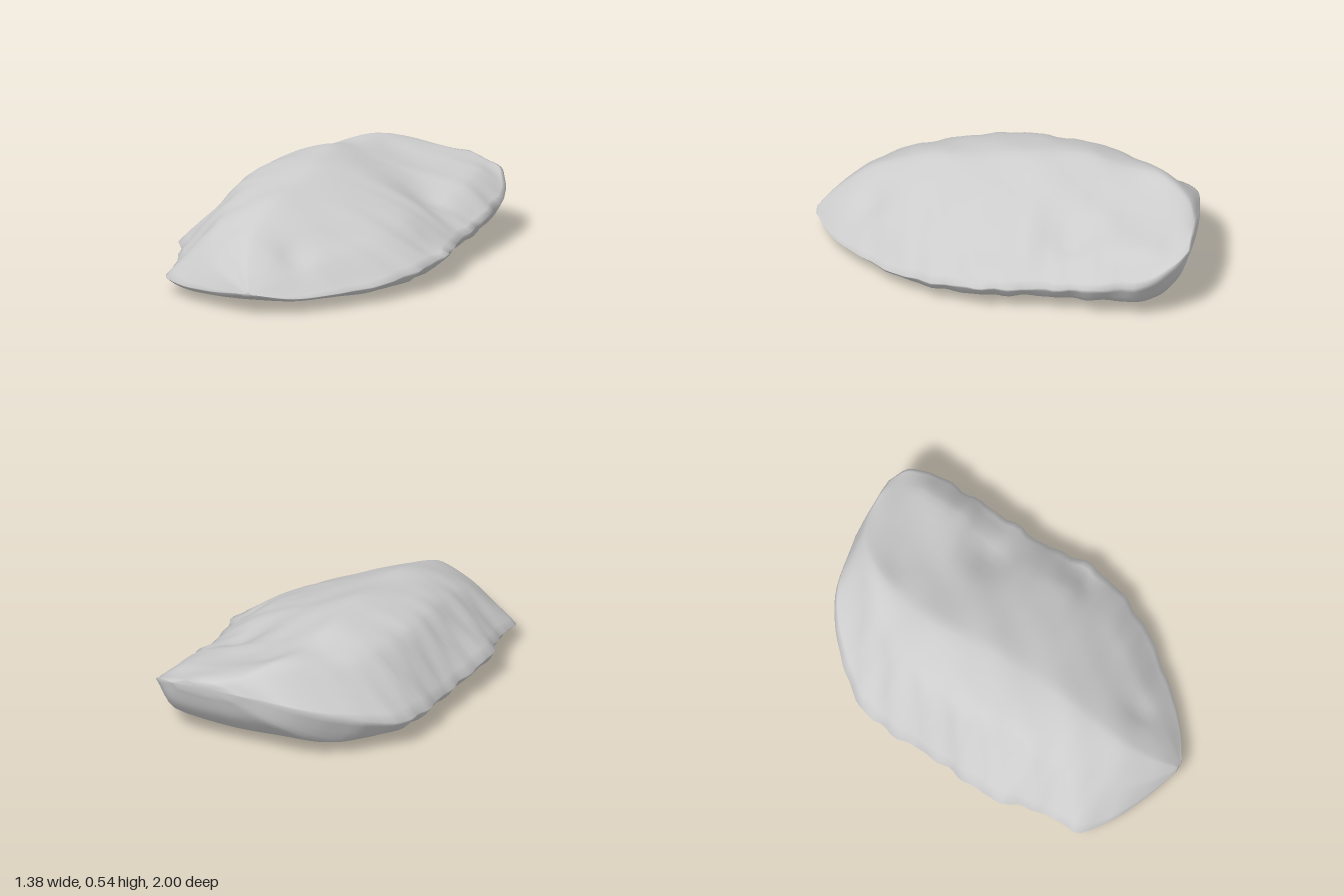
import * as THREE from 'three';

// Stations along the length of the boulder, back to front
const Z = [-1, -0.94, -0.8, -0.6, -0.4, -0.15, 0.05, 0.28, 0.5, 0.73, 0.9, 1];

// Lengthwise rails: x and y at each station
const RAILS = {
  leftRim: [
    [0.15, -0.17, -0.38, -0.56, -0.62, -0.63, -0.66, -0.685, -0.62, -0.6, -0.35, -0.1],
    [0.37, 0.33, 0.26, 0.18, 0.15, 0.14, 0.15, 0.16, 0.13, 0.085, 0.09, 0.12]],
  leftShoulder: [
    [0.22, 0, -0.15, -0.3, -0.38, -0.43, -0.44, -0.43, -0.42, -0.4, -0.25, -0.09],
    [0.39, 0.41, 0.42, 0.42, 0.43, 0.43, 0.43, 0.4, 0.35, 0.25, 0.18, 0.13]],
  leftCrest: [
    [0.26, 0.08, -0.06, -0.18, -0.25, -0.28, -0.28, -0.28, -0.28, -0.27, -0.18, -0.08],
    [0.4, 0.44, 0.48, 0.48, 0.505, 0.51, 0.49, 0.46, 0.41, 0.32, 0.21, 0.135]],
  ridge: [
    [0.3, 0.15, 0.03, -0.05, -0.09, -0.09, -0.08, -0.1, -0.13, -0.15, -0.12, -0.07],
    [0.4, 0.45, 0.5, 0.495, 0.535, 0.54, 0.51, 0.48, 0.43, 0.35, 0.23, 0.14]],
  rightSlope: [
    [0.37, 0.33, 0.25, 0.2, 0.18, 0.17, 0.17, 0.14, 0.07, 0, -0.04, -0.06],
    [0.395, 0.41, 0.42, 0.42, 0.43, 0.445, 0.43, 0.4, 0.36, 0.29, 0.2, 0.135]],
  rightShoulder: [
    [0.42, 0.5, 0.53, 0.52, 0.47, 0.44, 0.43, 0.4, 0.3, 0.15, 0.04, -0.05],
    [0.39, 0.37, 0.36, 0.34, 0.31, 0.32, 0.31, 0.28, 0.25, 0.2, 0.16, 0.13]],
  rightRim: [
    [0.5, 0.62, 0.68, 0.68, 0.67, 0.65, 0.67, 0.62, 0.51, 0.32, 0.14, -0.03],
    [0.36, 0.33, 0.24, 0.2, 0.18, 0.15, 0.15, 0.13, 0.105, 0.09, 0.09, 0.12]],
  rightBase: [
    [0.46, 0.53, 0.56, 0.57, 0.56, 0.55, 0.56, 0.52, 0.42, 0.25, 0.1, -0.04],
    [0.34, 0.21, 0.09, 0.075, 0.07, 0.06, 0.055, 0.05, 0.05, 0.06, 0.075, 0.115]],
  belly: [
    [0.32, 0.25, 0.2, 0.15, 0.12, 0.12, 0.1, 0.06, 0, -0.1, -0.1, -0.07],
    [0.33, 0.19, 0.06, 0.045, 0.03, 0.012, 0.004, 0.012, 0.025, 0.045, 0.065, 0.11]],
  leftBelly: [
    [0.26, 0.08, -0.04, -0.14, -0.2, -0.22, -0.23, -0.24, -0.26, -0.29, -0.2, -0.08],
    [0.335, 0.2, 0.075, 0.055, 0.045, 0.035, 0.03, 0.03, 0.035, 0.045, 0.065, 0.11]],
  leftBase: [
    [0.2, -0.08, -0.26, -0.44, -0.53, -0.55, -0.57, -0.6, -0.56, -0.53, -0.3, -0.09],
    [0.34, 0.21, 0.1, 0.07, 0.06, 0.055, 0.06, 0.065, 0.055, 0.05, 0.07, 0.115]],
};
const OVER = ['leftRim', 'leftShoulder', 'leftCrest', 'ridge', 'rightSlope', 'rightShoulder', 'rightRim'];
const UNDERSIDE = ['rightRim', 'rightBase', 'belly', 'leftBelly', 'leftBase', 'leftRim'];

// Hollows in the upper surface: x, z, radius, depth
const HOLLOWS = [
  [0.41, -0.37, 0.11, 0.05], [0.58, 0.08, 0.07, 0.035], [0.07, 0.7, 0.08, 0.035],
  [-0.5, 0.25, 0.08, 0.015], [0.1, -0.72, 0.09, 0.015],
];

const STEPS = 66, TOP = 30, UNDER = 20, RING = TOP + UNDER;

// Gentle irregular weathering
function weather(p, upper) {
  const { x, y, z } = p;
  const lump = Math.sin(9 * x + 4 * z + 1) * Math.sin(8 * z - 5 * y)
    + 0.6 * Math.sin(17 * z + 6 * x + 2) * Math.sin(13 * x - 7 * y + 0.5);
  p.y += lump * (upper ? 0.006 : 0.002);
  const fade = (1 - Math.abs(z) ** 6) * Math.min(1, Math.abs(x) * 2) * Math.sign(x);
  p.x += 0.007 * fade * (Math.sin(31 * z + 14 * y + 5 * x) + 0.7 * Math.sin(47 * z - 9 * y));
  if (upper) {
    for (const [hx, hz, r, d] of HOLLOWS) {
      p.y -= d * Math.exp(-((x - hx) ** 2 + (z - hz) ** 2) / (r * r));
    }
  }
  p.y = Math.max(p.y, 0);
  return p;
}

function boulderGeometry() {
  const rails = {};
  for (const [name, [xs, ys]] of Object.entries(RAILS)) {
    rails[name] = new THREE.CatmullRomCurve3(Z.map((z, i) => new THREE.Vector3(xs[i], ys[i], z)));
  }
  const across = (names, t) =>
    new THREE.CatmullRomCurve3(names.map((n) => rails[n].getPoint(t)), false, 'catmullrom', 0.35);
  const pos = [], index = [];

  // Closed rings: over the top from left to right, then back underneath
  for (let i = 0; i <= STEPS; i++) {
    const over = across(OVER, i / STEPS), under = across(UNDERSIDE, i / STEPS);
    for (let j = 0; j < RING; j++) {
      const p = j < TOP ? over.getPoint(j / TOP) : under.getPoint((j - TOP) / UNDER);
      pos.push(...weather(p, j > 0 && j < TOP).toArray());
    }
  }
  for (let i = 0; i < STEPS; i++) {
    for (let j = 0; j < RING; j++) {
      const a = i * RING + j, b = i * RING + (j + 1) % RING;
      index.push(a, a + RING, b, b, a + RING, b + RING);
    }
  }

  // Small end caps
  for (const i of [0, STEPS]) {
    const mid = new THREE.Vector3();
    for (let j = 0; j < RING; j++) {
      mid.add(new THREE.Vector3().fromArray(pos, (i * RING + j) * 3));
    }
    const centre = pos.length / 3;
    pos.push(...mid.divideScalar(RING).toArray());
    for (let j = 0; j < RING; j++) {
      const a = i * RING + j, b = i * RING + (j + 1) % RING;
      if (i === 0) index.push(centre, a, b);
      else index.push(centre, b, a);
    }
  }

  const geometry = new THREE.BufferGeometry();
  geometry.setAttribute('position', new THREE.Float32BufferAttribute(pos, 3));
  geometry.setIndex(index);
  geometry.computeVertexNormals();
  return geometry;
}

export function createModel() {
  const stone = new THREE.MeshStandardMaterial({ color: 0xcccccc });
  stone.name = 'paleStone';
  const boulder = new THREE.Mesh(boulderGeometry(), stone);
  boulder.name = 'boulder';
  const model = new THREE.Group();
  model.name = 'rock';
  model.add(boulder);
  return model;
}
